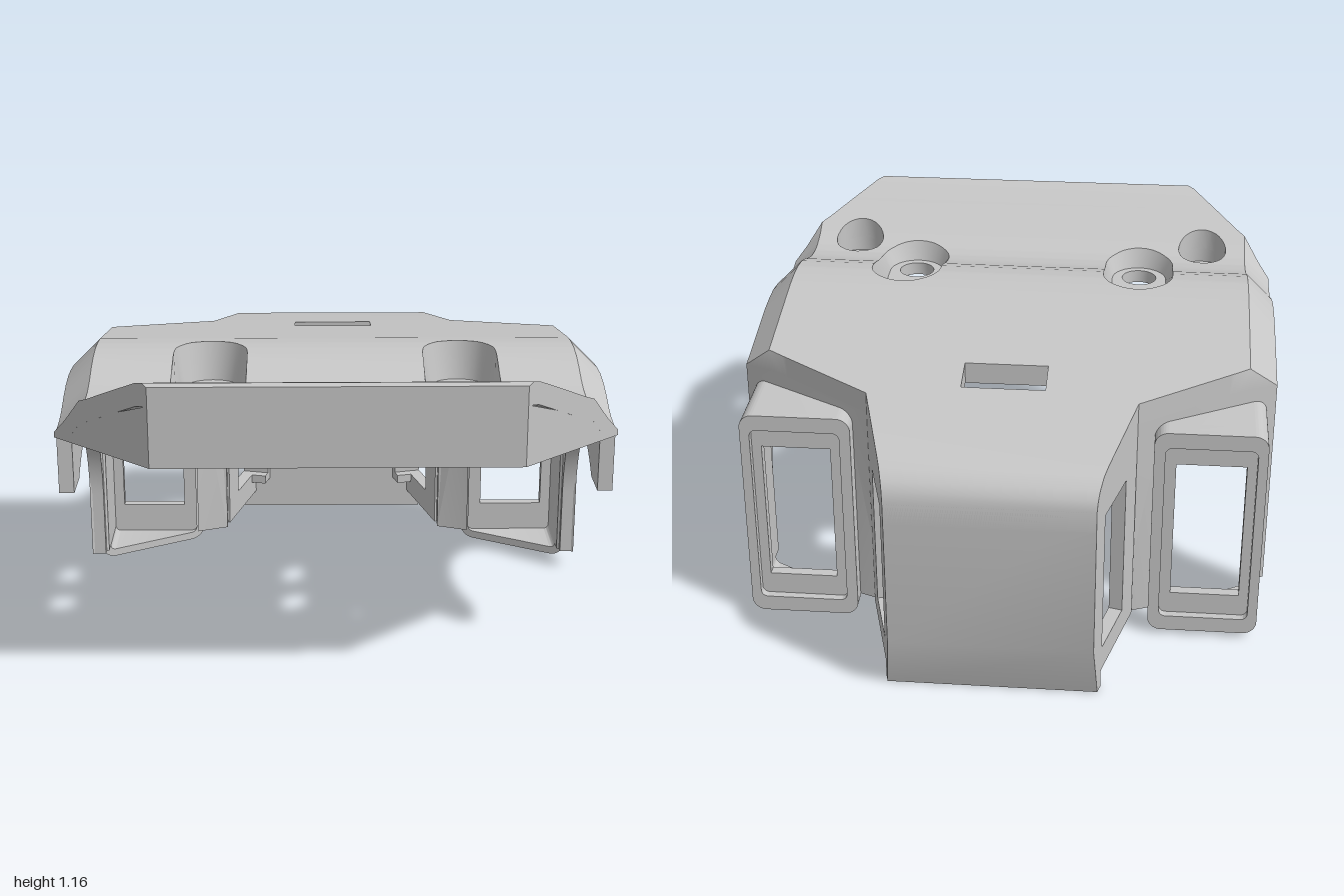
import * as THREE from 'three';
import { toCreasedNormals } from 'three/addons/utils/BufferGeometryUtils.js';

const shellGrey = new THREE.MeshStandardMaterial({ color: 0xc6c6c6, side: THREE.DoubleSide });
shellGrey.name = 'shellGrey';

// Roof height along z, and half width along z
const ROOF = [[-1, 0.78], [-0.99, 0.815], [-0.97, 0.845], [-0.93, 0.876], [-0.88, 0.89], [0.06, 1.053], [0.1, 1.06],
  [0.18, 1.067], [0.25, 1.067], [0.33, 1.056], [0.4, 1.035], [0.47, 1.008], [0.53, 0.992], [0.6, 0.985], [0.65, 0.989],
  [0.72, 1.008], [0.8, 1.052], [0.88, 1.105], [0.965, 1.16], [0.985, 1.165], [1, 1.155]];
const WIDTH = [[-1, 0.36], [-0.545, 0.48], [-0.26, 0.973], [0.68, 0.973], [1, 0.62]];
const BEVEL = 0.87;

function lerpTable(table, t) {
  let i = 0;
  while (i < table.length - 2 && t > table[i + 1][0]) i++;
  const [a, b] = [table[i], table[i + 1]];
  return a[1] + (b[1] - a[1]) * (t - a[0]) / (b[0] - a[0]);
}
const width = (z) => lerpTable(WIDTH, z);
const bevel = (x) => Math.max(0, Math.abs(x) - BEVEL);
const top = (x, z) => lerpTable(ROOF, z) - bevel(x);
// Outer plane of the slanted shoulder wall
const slant = (x) => -0.26 - (0.973 - Math.max(x, 0.48)) * 0.578;
function under(x, z) {
  const k = THREE.MathUtils.clamp((z - 0.6) / 0.04, 0, 1), y = top(x, z) - 0.08;
  return y + k * Math.max(0, 0.875 - y);
}

// Collects quads into a triangle soup
function quadBuilder() {
  const pos = [];
  const tri = (a, b, c) => {
    const ab = new THREE.Vector3().subVectors(b, a), ac = new THREE.Vector3().subVectors(c, a);
    if (ab.cross(ac).length() > 1e-9) [a, b, c].forEach((p) => pos.push(p.x, p.y, p.z));
  };
  return {
    quad(a, b, c, d) { tri(a, b, c); tri(a, c, d); },
    build() {
      return new THREE.BufferGeometry().setAttribute('position', new THREE.Float32BufferAttribute(pos, 3));
    },
  };
}
const V = (x, y, z) => new THREE.Vector3(x, y, z);

// Recessed pockets in the roof: rounded slots and round screw seats
const POCKETS = [
  { name: 'slotPocket', x: 0.45, c0: 0.29, c1: 0.563, r: 0.133, rf: 0.107, floor: 0.925, holes: [0.303, 0.575], hr: 0.068 },
  { name: 'screwSeat', x: 0.7, c0: 0.7, c1: 0.7, r: 0.095, rf: 0.095, floor: 0.91, holes: [0.7], hr: 0.047 },
];
const STEP = Math.PI / 16;

// Closed rounded outline of a pocket
function ring(p, r) {
  const pts = [];
  for (let k = 0; k <= 16; k++) pts.push([p.x + r * Math.cos(k * STEP), p.c1 + r * Math.sin(k * STEP)]);
  for (let k = 16; k <= 32; k++) pts.push([p.x + r * Math.cos(k * STEP), p.c0 + r * Math.sin(k * STEP)]);
  return pts;
}

// Curved roof slab, built as strips across x that leave the openings free
function roofGeometry() {
  const holes = [{ x: 0, z0: -0.49, z1: -0.35, half: () => 0.15 }];
  const rows = [...ROOF, ...WIDTH].map((p) => p[0]).concat(0.6, 0.64, -0.36, -0.318, 0.773, -0.49, -0.35);
  for (const p of POCKETS) {
    const half = (z) => Math.sqrt(Math.max(0, p.r ** 2 - Math.max(0, p.c0 - z, z - p.c1) ** 2));
    for (const s of [-1, 1]) holes.push({ x: s * p.x, z0: p.c0 - p.r, z1: p.c1 + p.r, half });
    for (let k = 0; k <= 8; k++) rows.push(p.c1 + p.r * Math.sin(k * STEP), p.c0 - p.r * Math.sin(k * STEP));
  }
  holes.sort((a, b) => a.x - b.x);
  rows.sort((a, b) => a - b);
  const b = quadBuilder();
  for (let i = 0; i < rows.length - 1; i++) {
    const [za, zb] = [rows[i], rows[i + 1]];
    if (zb - za < 1e-6) continue;
    const mid = (za + zb) / 2;
    const live = holes.filter((h) => mid > h.z0 && mid < h.z1);
    const edges = (z) => {
      const w = width(z), c = Math.min(BEVEL, w);
      return [-w, -c, -c, ...live.flatMap((h) => [h.x - h.half(z), h.x + h.half(z)]), c, c, w];
    };
    const ea = edges(za), eb = edges(zb), n = ea.length;
    const T = (x, z) => V(x, top(x, z), z), U = (x, z) => V(x, under(x, z), z);
    for (let e = 0; e < n; e += 2) {
      const [la, ra, lb, rb] = [ea[e], ea[e + 1], eb[e], eb[e + 1]];
      b.quad(T(la, za), T(lb, zb), T(rb, zb), T(ra, za));
      b.quad(U(la, za), U(ra, za), U(rb, zb), U(lb, zb));
      if (e !== 2 && e !== n - 2) b.quad(U(la, za), U(lb, zb), T(lb, zb), T(la, za));
      if (e !== 0 && e !== n - 4) b.quad(U(ra, za), T(ra, za), T(rb, zb), U(rb, zb));
    }
  }
  // Faces across x: front lip, rear end and both ends of the centre slot
  for (const [z, w, s] of [[1, 0.62, 1], [-1, 0.36, -1], [-0.49, 0.15, 1], [-0.35, 0.15, -1]]) {
    const x = w * s;
    b.quad(V(-x, under(0, z), z), V(x, under(0, z), z), V(x, top(0, z), z), V(-x, top(0, z), z));
  }
  return b.build();
}

function polygon(points) {
  return new THREE.Shape(points.map((p) => new THREE.Vector2(p[0], p[1])));
}
const rect = (x0, y0, x1, y1) => polygon([[x0, y0], [x1, y0], [x1, y1], [x0, y1]]);
function roundRect(x0, y0, x1, y1, r) {
  const s = new THREE.Shape();
  s.absarc(x1 - r, y1 - r, r, 0, Math.PI / 2);
  s.absarc(x0 + r, y1 - r, r, Math.PI / 2, Math.PI);
  s.absarc(x0 + r, y0 + r, r, Math.PI, Math.PI * 1.5);
  s.absarc(x1 - r, y0 + r, r, Math.PI * 1.5, Math.PI * 2);
  return s;
}
function extrude(shape, from, to, holes = []) {
  shape.holes.push(...holes);
  return new THREE.ExtrudeGeometry(shape, { depth: to - from, bevelEnabled: false, curveSegments: 12 }).translate(0, 0, from);
}
// Moves every vertex by a rule
function bend(geo, rule) {
  const p = geo.attributes.position;
  for (let i = 0; i < p.count; i++) p.setXYZ(i, ...rule(p.getX(i), p.getY(i), p.getZ(i)));
  return geo;
}
function mirrored(geo) {
  const g = geo.clone().scale(-1, 1, 1), a = g.attributes.position.array;
  for (let i = 0; i < a.length; i += 9) {
    for (let k = 0; k < 3; k++) [a[i + k], a[i + 3 + k]] = [a[i + 3 + k], a[i + k]];
  }
  return g;
}

export function createModel() {
  const model = new THREE.Group();
  model.name = 'moldedShell';
  const add = (name, geo) => {
    const g = geo.index ? geo.toNonIndexed() : geo;
    g.deleteAttribute('uv');
    g.deleteAttribute('normal');
    const mesh = new THREE.Mesh(toCreasedNormals(g, 0.45), shellGrey);
    mesh.name = name;
    model.add(mesh);
  };
  const addPair = (name, geo) => {
    const other = mirrored(geo);
    add(name + 'Left', geo);
    add(name + 'Right', other);
  };

  add('roof', roofGeometry());

  // Rim hanging below the front edge of the roof
  const half = [[0.973, 0.62], [0.973, 0.68], [BEVEL, 0.773], [0.62, 1]];
  const inner = [[0.6, 0.95], [BEVEL, 0.705], [0.92, 0.66], [0.92, 0.62]];
  const flip = (pts) => pts.map(([x, z]) => [-x, z]).reverse();
  const rim = extrude(polygon([...half, ...flip(half), ...flip(inner), ...inner]), 0, 1).rotateX(Math.PI / 2);
  add('frontRim', bend(rim, (x, y, z) => [x, y < -0.5 ? 0.875 : under(x, z) + 0.015, z]));

  // Pocket walls and drilled floors
  for (const p of POCKETS) {
    const b = quadBuilder(), hi = ring(p, p.r), lo = ring(p, p.rf);
    const T = ([x, z]) => V(x, top(x, z), z), F = ([x, z]) => V(x, p.floor, z);
    hi.forEach((h, k) => {
      const next = (k + 1) % hi.length;
      b.quad(T(h), F(lo[k]), F(lo[next]), T(hi[next]));
    });
    addPair(p.name + 'Wall', b.build());
    const bores = p.holes.map((z) => new THREE.Path().absarc(p.x, z, p.hr, 0, Math.PI * 2));
    const floor = extrude(polygon(ring(p, p.r + 0.02)), 0, p.floor - 0.875, bores);
    addPair(p.name + 'Floor', floor.rotateX(Math.PI / 2).translate(0, p.floor, 0));
  }

  // Side walls with the wheel arch cut out
  const side = new THREE.Shape();
  side.moveTo(0.63, 0.876);
  side.lineTo(0.63, 0.65);
  side.lineTo(0.48, 0.65);
  side.absarc(0.22, 0.325, 0.42, 0.89, Math.PI);
  side.lineTo(-0.2, 0.07);
  side.lineTo(-0.26, 0.07);
  for (let z = -0.26; z < 0.62; z += 0.04) side.lineTo(z, top(0.973, z) - 0.02);
  addPair('sideWall', extrude(side, -0.973, -0.92).rotateY(-Math.PI / 2));

  // Slanted shoulder walls, cut open from below for the window boxes
  const shoulder = extrude(polygon([[0.44, 0.07], [0.56, 0.07], [0.56, 0.82], [0.91, 0.82], [0.91, 0.07], [0.973, 0.07],
    [0.973, 1], [BEVEL, 1], [0.48, 1], [0.44, 1]]), 0, 0.065);
  addPair('shoulderWall', bend(shoulder, (x, y, z) => {
    const zz = slant(x) + z;
    return [x, y > 0.9 ? top(x, zz) - 0.02 : y, zz];
  }));

  // Hollow window boxes behind the shoulders: skirt, pierced plate and raised rim
  const boxOutline = () => roundRect(0.54, 0.02, 0.94, 0.85, 0.05);
  const skirt = extrude(boxOutline(), -0.54, 0, [roundRect(0.57, 0.05, 0.91, 0.82, 0.02)]);
  addPair('windowSkirt', bend(skirt, (x, y, z) => [x, y, z > -0.1 ? slant(x) + 0.01 : z]));
  addPair('windowPlate', extrude(boxOutline(), -0.54, -0.5, [rect(0.62, 0.165, 0.87, 0.71)]));
  addPair('windowRim', extrude(boxOutline(), -0.57, -0.54, [roundRect(0.58, 0.08, 0.905, 0.79, 0.025)]));

  // Tapering rear side walls with a window, thickened inside around its far end
  const u = V(-0.12, 0, -0.455).normalize();
  const place = new THREE.Matrix4().makeBasis(u, V(0, 1, 0), V(-u.z, 0, u.x)).setPosition(0.48, 0, -0.545);
  const rearSide = polygon([[0, 0.07], [0.432, 0.07], [0.47, 0.21], [0.47, 0.75], [0.345, 0.86], [0, 0.92]]);
  addPair('rearSideWall', extrude(rearSide, -0.05, 0, [rect(0.129, 0.165, 0.372, 0.71)]).applyMatrix4(place));
  const jamb = polygon([[0.33, 0.13], [0.41, 0.13], [0.41, 0.75], [0.33, 0.75], [0.33, 0.71], [0.372, 0.71],
    [0.372, 0.165], [0.33, 0.165]]);
  addPair('rearWindowJamb', extrude(jamb, -0.11, -0.05).applyMatrix4(place));

  // Rear wall with a tapered bottom lip, following the taper in width
  const rear = polygon([[-1, 0.78], [-1, 0.21], [-0.945, 0], [-0.91, 0], [-0.91, 0.83], [-0.96, 0.83]]);
  const rearWall = extrude(rear, -0.5, 0.5).rotateY(-Math.PI / 2);
  add('rearWall', bend(rearWall, (x, y, z) => [x * 2 * width(z), y, z]));
  add('rearPad', new THREE.BoxGeometry(0.11, 0.155, 0.02).translate(0, 0.278, -0.907));

  return model;
}
